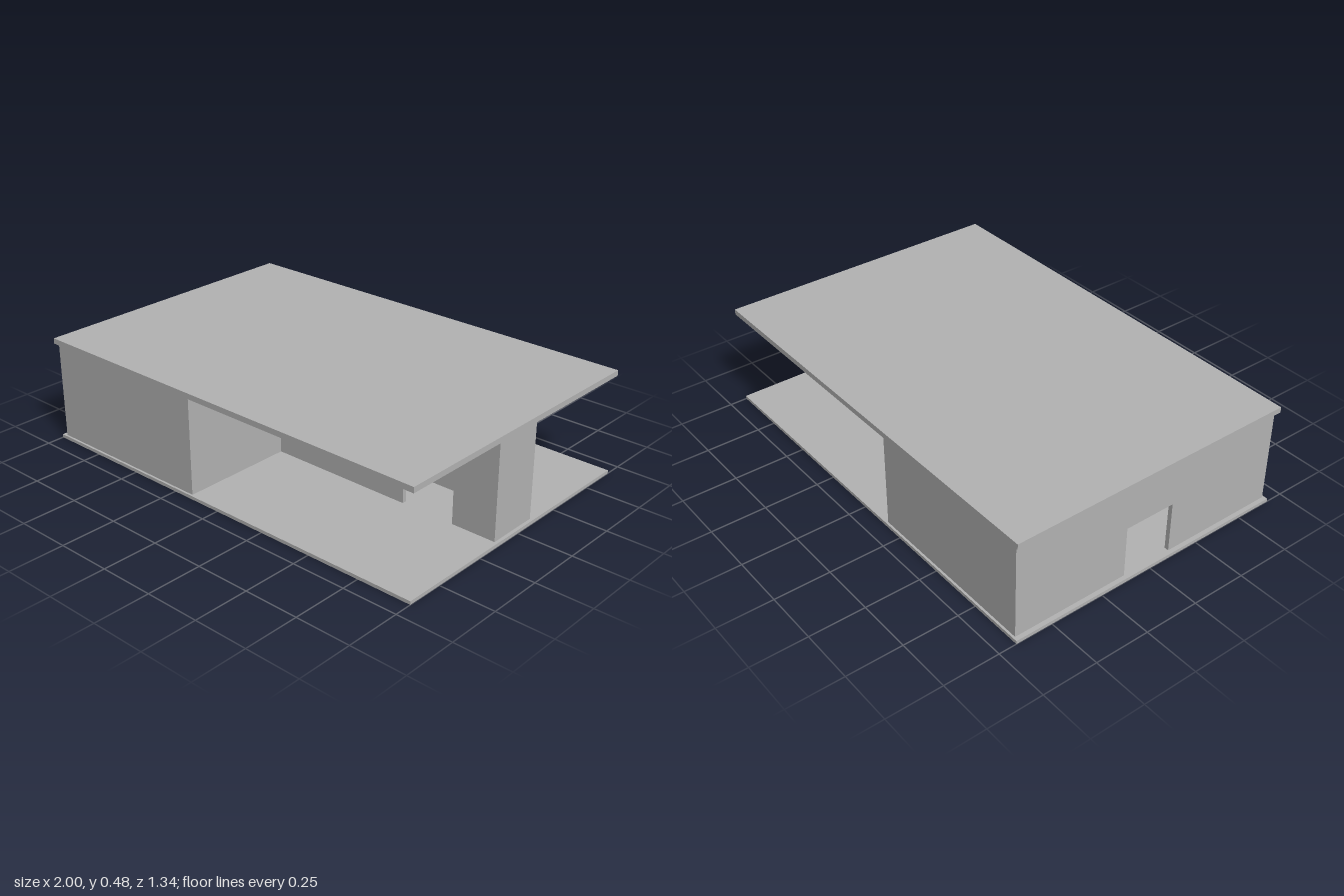
import * as THREE from 'three';

const FLOOR = 0.015, CEILING = 0.455, TOP = 0.48, DOOR = 0.25, THICK = 0.02;

export function createModel() {
  const house = new THREE.Group();
  house.name = 'house';
  const plaster = new THREE.MeshStandardMaterial({ color: 0xb2b2b2 });
  plaster.name = 'grey plaster';

  const add = (name, geometry) => {
    const mesh = new THREE.Mesh(geometry, plaster);
    mesh.name = name;
    house.add(mesh);
    return mesh;
  };

  // Flat slab covering the whole footprint
  const slab = (name, y0, y1) => {
    add(name, new THREE.BoxGeometry(2, y1 - y0, 1.34)).position.y = (y0 + y1) / 2;
  };

  // Wall outline from a to b, with an optional doorway cut up from the floor
  const outline = (a, b, door) => {
    const points = [[a, FLOOR]];
    if (door) {
      points.push([door[0], FLOOR], [door[0], DOOR], [door[1], DOOR], [door[1], FLOOR]);
    }
    points.push([b, FLOOR], [b, CEILING], [a, CEILING]);
    const shape = new THREE.Shape(points.map(([u, v]) => new THREE.Vector2(u, v)));
    return new THREE.ExtrudeGeometry(shape, { depth: THICK, bevelEnabled: false });
  };

  // Wall running along x, filling z to z + THICK
  const wallX = (name, a, b, z, door) => add(name, outline(a, b, door).translate(0, 0, z));

  // Wall running along z, filling x to x + THICK
  const wallZ = (name, a, b, x, door) => {
    const flipped = door && [-door[1], -door[0]];
    add(name, outline(-b, -a, flipped).rotateY(Math.PI / 2).translate(x, 0, 0));
  };

  slab('floor', 0, FLOOR);
  slab('roof', CEILING, TOP);

  // Large hall with doorways centred in its two end walls
  const hallDoor = [-0.12, 0.117];
  wallZ('hallEndWall', -0.66, 0.66, -0.98, hallDoor);
  wallZ('hallDividerWall', -0.66, 0.66, -0.175, hallDoor);
  wallX('hallFrontWall', -0.96, -0.175, 0.64);
  wallX('hallBackWall', -0.96, -0.175, -0.66);

  // Narrow room between the two open terraces
  wallX('roomFrontWall', -0.155, 0.985, 0.115, [0.53, 0.78]);
  wallX('roomBackWall', -0.155, 0.965, -0.105, [0.043, 0.293]);
  wallZ('roomEndWall', -0.105, 0.115, 0.965);

  return house;
}
